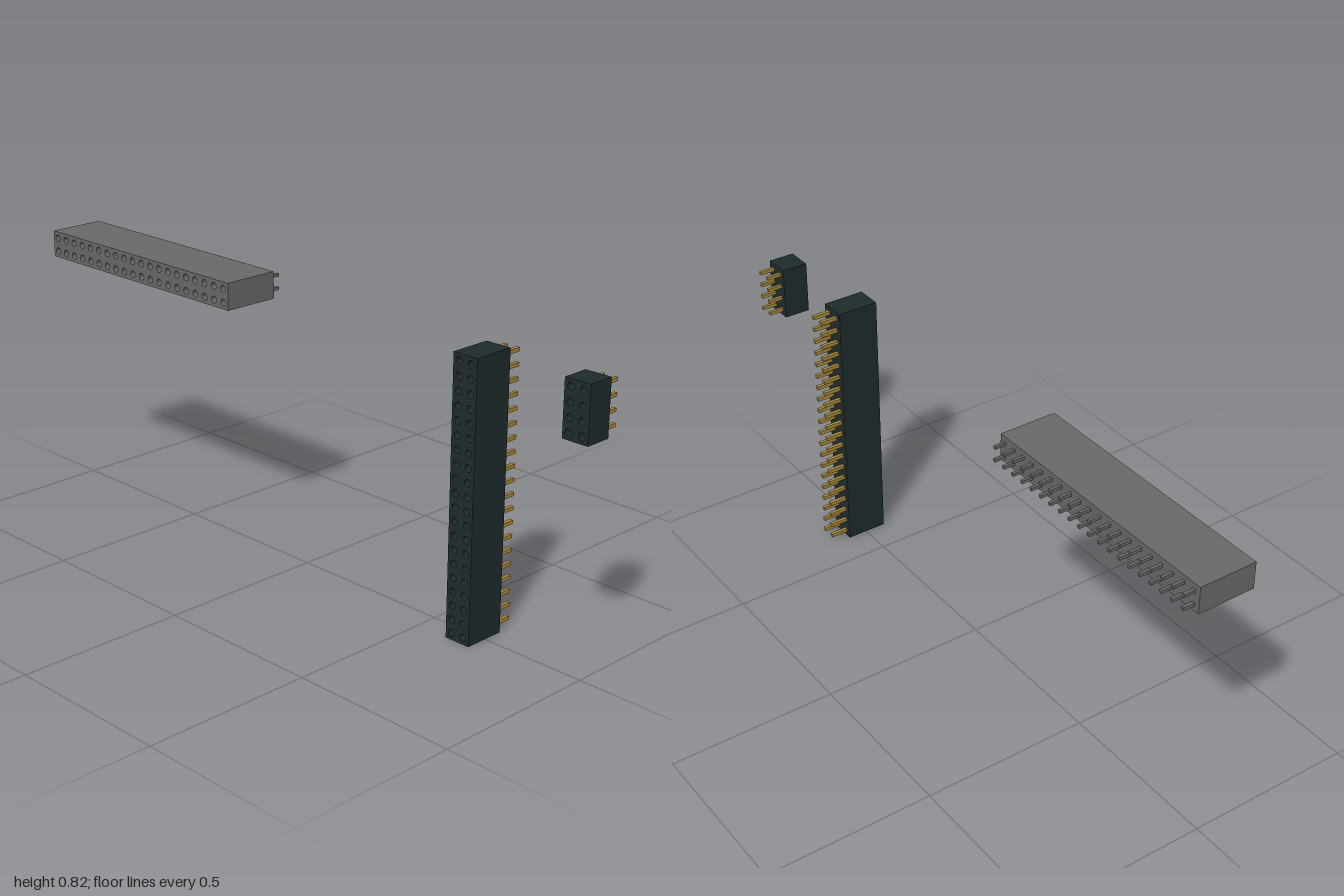
import * as THREE from 'three';

const PITCH = 0.04;
const BACK = -0.06;

const mat = (name, color) => {
  const m = new THREE.MeshStandardMaterial({ color });
  m.name = name;
  return m;
};

// Socket block with blind holes in the front and a grid of pins behind
function header({ name, cols, rows, x, y, front, pinEnd, pinSize, holeDepth, body, pin }) {
  const group = new THREE.Group();
  group.name = name;
  const w = cols * PITCH, h = rows * PITCH;
  const floor = front - holeDepth;

  const face = new THREE.Shape();
  face.moveTo(0, 0).lineTo(w, 0).lineTo(w, h).lineTo(0, h).closePath();

  const pinLength = BACK - pinEnd;
  const pinGeo = new THREE.BoxGeometry(pinSize, pinSize, pinLength);
  for (let i = 0; i < cols; i++) {
    for (let j = 0; j < rows; j++) {
      const cx = (i + 0.5) * PITCH, cy = (j + 0.5) * PITCH;
      const hole = new THREE.Path();
      hole.absarc(cx, cy, 0.0105, 0, Math.PI * 2, true);
      face.holes.push(hole);

      const p = new THREE.Mesh(pinGeo, pin);
      p.name = 'pin';
      p.position.set(x + cx, y + cy, BACK - pinLength / 2);
      group.add(p);
    }
  }

  // Perforated front portion
  const sockets = new THREE.Mesh(
    new THREE.ExtrudeGeometry(face, { depth: holeDepth, bevelEnabled: false, curveSegments: 8 }), body);
  sockets.name = 'socketBlock';
  sockets.position.set(x, y, floor);

  // Solid rear portion closing the holes
  const rear = new THREE.Mesh(new THREE.BoxGeometry(w, h, floor - BACK), body);
  rear.name = 'rearBlock';
  rear.position.set(x + w / 2, y + h / 2, (floor + BACK) / 2);

  group.add(sockets, rear);
  return group;
}

export function createModel() {
  const grey = mat('grey plastic', 0x686868);
  const dark = mat('dark green plastic', 0x1f2b2b);
  const gold = mat('gold metal', 0xa5873c);

  const model = new THREE.Group();
  model.name = 'pinHeaders';
  model.add(
    header({ name: 'horizontalHeader', cols: 20, rows: 2, x: -1, y: 0.742, front: 0.114,
      pinEnd: -0.095, pinSize: 0.009, holeDepth: 0.06, body: grey, pin: grey }),
    header({ name: 'verticalHeader', cols: 2, rows: 20, x: 0.6, y: 0.002, front: 0.066,
      pinEnd: -0.114, pinSize: 0.011, holeDepth: 0.05, body: dark, pin: gold }),
    header({ name: 'smallHeader', cols: 2, rows: 4, x: 0.92, y: 0.643, front: 0.02,
      pinEnd: -0.106, pinSize: 0.01, holeDepth: 0.04, body: dark, pin: gold })
  );
  return model;
}
